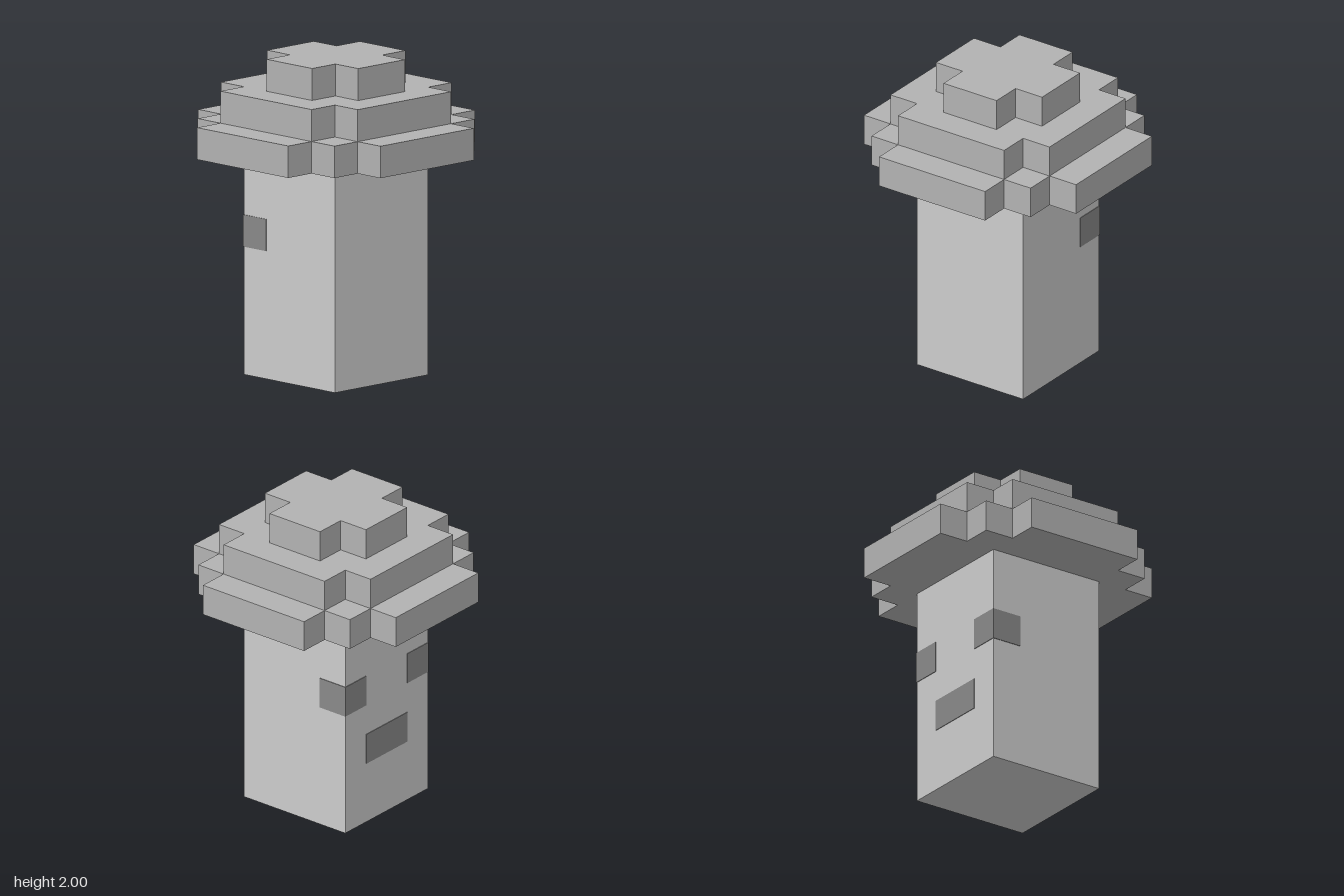
import * as THREE from 'three';

const makeMaterial = (name, color) => {
  const material = new THREE.MeshStandardMaterial({ color });
  material.name = name;
  return material;
};

export function createModel() {
  const model = new THREE.Group();
  model.name = 'blockMushroom';

  const stemGrey = makeMaterial('light grey', 0xcccccc);
  const capGrey = makeMaterial('mid grey', 0xb2b2b2);
  const spotGrey = makeMaterial('dark grey', 0x898989);

  const add = (name, geometry, material, x, y, z) => {
    const mesh = new THREE.Mesh(geometry, material);
    mesh.name = name;
    mesh.position.set(x, y, z);
    model.add(mesh);
  };

  // Square stem
  const half = 0.4;
  const stemHeight = 1.4;
  add('stem', new THREE.BoxGeometry(2 * half, stemHeight, 2 * half), stemGrey, 0, stemHeight / 2, 0);

  // Cap tiers: one quarter of a stepped outline, mirrored to all four quarters
  const step = 0.2;
  const tierShape = (quarter) => {
    const back = [...quarter].reverse();
    return new THREE.Shape([
      ...quarter.map(([x, z]) => new THREE.Vector2(x, z)),
      ...back.map(([x, z]) => new THREE.Vector2(-x, z)),
      ...quarter.map(([x, z]) => new THREE.Vector2(-x, -z)),
      ...back.map(([x, z]) => new THREE.Vector2(x, -z)),
    ]);
  };
  const tiers = [
    ['capBrim', [[0.8, 0.4], [0.6, 0.4], [0.6, 0.6], [0.4, 0.6], [0.4, 0.8]]],
    ['capMiddle', [[0.6, 0.4], [0.4, 0.4], [0.4, 0.6]]],
    ['capTop', [[0.4, 0.2], [0.2, 0.2], [0.2, 0.4]]],
  ];
  tiers.forEach(([name, quarter], i) => {
    const geometry = new THREE.ExtrudeGeometry(tierShape(quarter), { depth: step, bevelEnabled: false });
    geometry.rotateX(-Math.PI / 2);
    add(name, geometry, capGrey, 0, stemHeight + i * step, 0);
  });

  // Spots: thin plates on the stem, two of them wrapping round a corner
  const t = 0.004;
  const edge = half + t / 2;
  for (const side of [1, -1]) {
    const end = side > 0 ? 'front' : 'back';
    add(end + 'Spot', new THREE.BoxGeometry(step, step, t), spotGrey, -0.3, 0.9, side * edge);
    add(end + 'SideSpot', new THREE.BoxGeometry(t, step, step + t), spotGrey, -edge, 0.9, side * (0.3 + t / 2));
  }
  add('lowerSideSpot', new THREE.BoxGeometry(t, step, 2 * step), spotGrey, -edge, 0.5, 0);

  return model;
}
